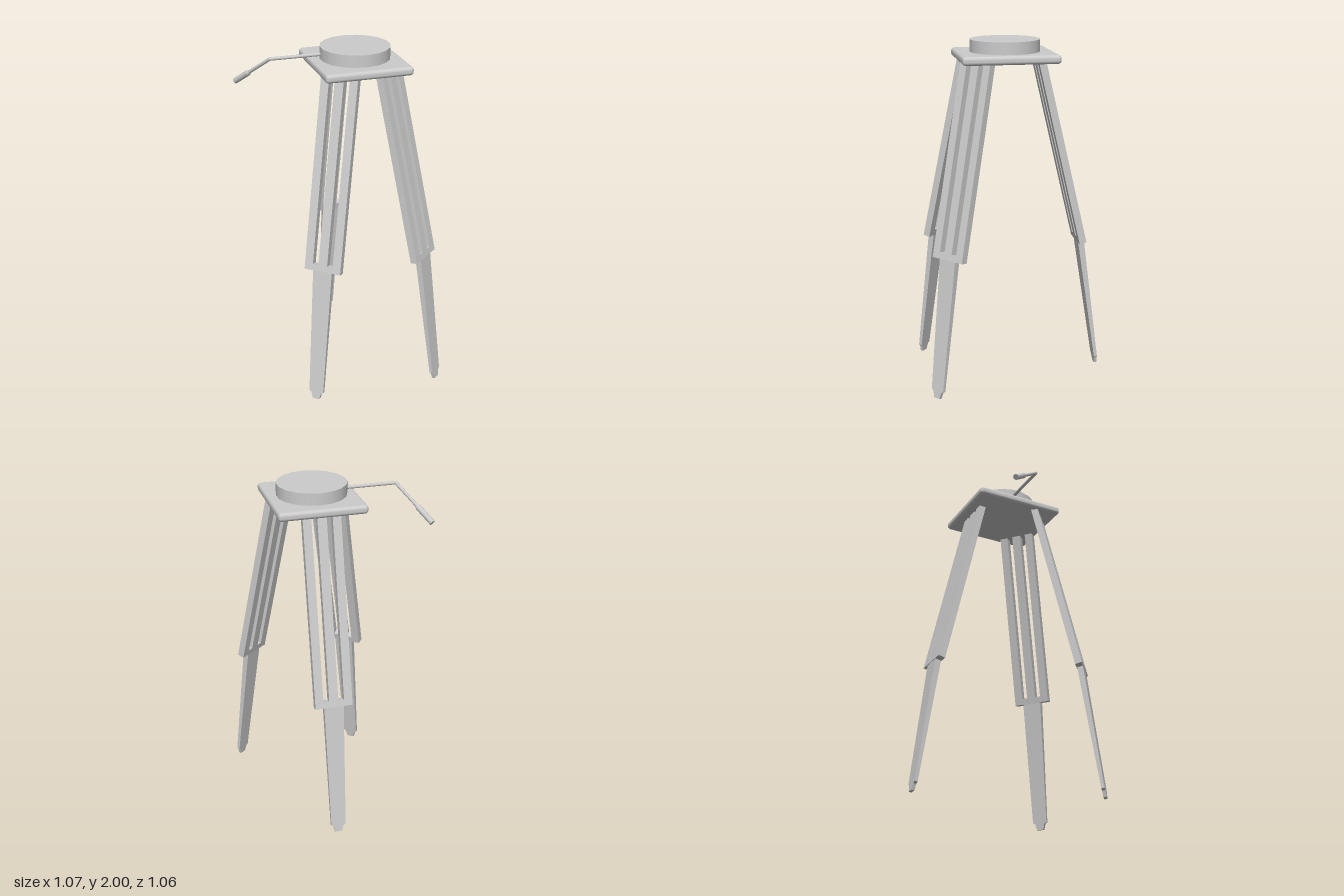
import * as THREE from 'three';
import { RoundedBoxGeometry } from 'three/addons/geometries/RoundedBoxGeometry.js';

const CX = 0.121; // the head sits off-centre because the handle reaches out to one side
const CZ = 0.042;
const KNEE_Y = 0.797;

const material = new THREE.MeshStandardMaterial({ color: 0xcccccc });

function addMesh(parent, name, geometry) {
  const mesh = new THREE.Mesh(geometry, material);
  mesh.name = name;
  parent.add(mesh);
  return mesh;
}

// Flat board cut from an outline, centred on its thickness
function board(points, thickness) {
  const shape = new THREE.Shape(points.map(([x, y]) => new THREE.Vector2(x, y)));
  const geometry = new THREE.ExtrudeGeometry(shape, { depth: thickness, bevelEnabled: false });
  return geometry.translate(0, 0, -thickness / 2);
}

// Comb outline: three bars open at the top, joined by a rail at the knee
function upperLegGeometry() {
  const top = 1.122, rail = 0.037;
  return board([
    [-0.11, 0], [0.11, 0], [0.11, top], [0.061, top], [0.061, rail], [0.027, rail],
    [0.027, top], [-0.027, top], [-0.027, rail], [-0.061, rail], [-0.061, top], [-0.11, top],
  ], 0.042);
}

// Tapered board with a stepped foot, thinning towards the ground
function lowerLegGeometry() {
  const length = 0.803;
  const half = [[0.058, 0.02], [0.044, -0.757], [0.03, -0.767], [0.021, -length]];
  const mirrored = half.map(([x, y]) => [-x, y]).reverse();
  const geometry = board([...mirrored, ...half], 0.036);
  const p = geometry.attributes.position;
  for (let i = 0; i < p.count; i++) {
    p.setZ(i, p.getZ(i) * (1 + 0.5 * p.getY(i) / length));
  }
  geometry.computeVertexNormals();
  return geometry;
}

// Round bar between two points
function rod(parent, name, from, to, r0, r1 = r0) {
  const dir = to.clone().sub(from);
  const mesh = addMesh(parent, name, new THREE.CylinderGeometry(r1, r0, dir.length(), 12));
  mesh.position.copy(from).addScaledVector(dir, 0.5);
  mesh.quaternion.setFromUnitVectors(new THREE.Vector3(0, 1, 0), dir.normalize());
}

export function createModel() {
  const model = new THREE.Group();
  model.name = 'tripod';

  // Head: rounded plate with a turntable on it
  addMesh(model, 'topPlate', new RoundedBoxGeometry(0.51, 0.05, 0.555, 3, 0.02))
    .position.set(CX, 1.905, CZ);
  addMesh(model, 'turntable', new THREE.CylinderGeometry(0.202, 0.202, 0.08, 18))
    .position.set(CX, 1.96, CZ);

  // Pan handle: straight arm, elbow, bent arm and grip
  const handle = new THREE.Group();
  handle.name = 'panHandle';
  const root = new THREE.Vector3(-0.06, 1.957, 0.017);
  const elbow = new THREE.Vector3(-0.37, 1.957, 0.017);
  const end = new THREE.Vector3(-0.52, 1.777, -0.2);
  const gripStart = elbow.clone().lerp(end, 0.58);
  const collar = elbow.clone().lerp(end, 0.62);
  rod(handle, 'handleArm', root, elbow, 0.01);
  rod(handle, 'handleBend', elbow, collar, 0.01);
  rod(handle, 'gripCollar', gripStart, collar, 0.012, 0.017);
  rod(handle, 'handleGrip', collar, end, 0.017);
  addMesh(handle, 'handleElbow', new THREE.SphereGeometry(0.01, 12, 8)).position.copy(elbow);
  model.add(handle);

  // Three legs, each hinged at the knee and turned outwards
  const upper = upperLegGeometry();
  const lower = lowerLegGeometry();
  const legs = [
    ['backLeg', CX, -0.408, Math.PI],
    ['frontLeftLeg', CX + 0.305, 0.414, 0.703],
    ['frontRightLeg', CX - 0.305, 0.414, -0.703],
  ];
  for (const [name, x, z, turn] of legs) {
    const leg = new THREE.Group();
    leg.name = name;
    leg.position.set(x, KNEE_Y, z);
    leg.rotation.y = turn;
    addMesh(leg, 'upperLeg', upper).rotation.x = -0.229;
    addMesh(leg, 'lowerLeg', lower).rotation.x = -0.142;
    model.add(leg);
  }
  return model;
}
